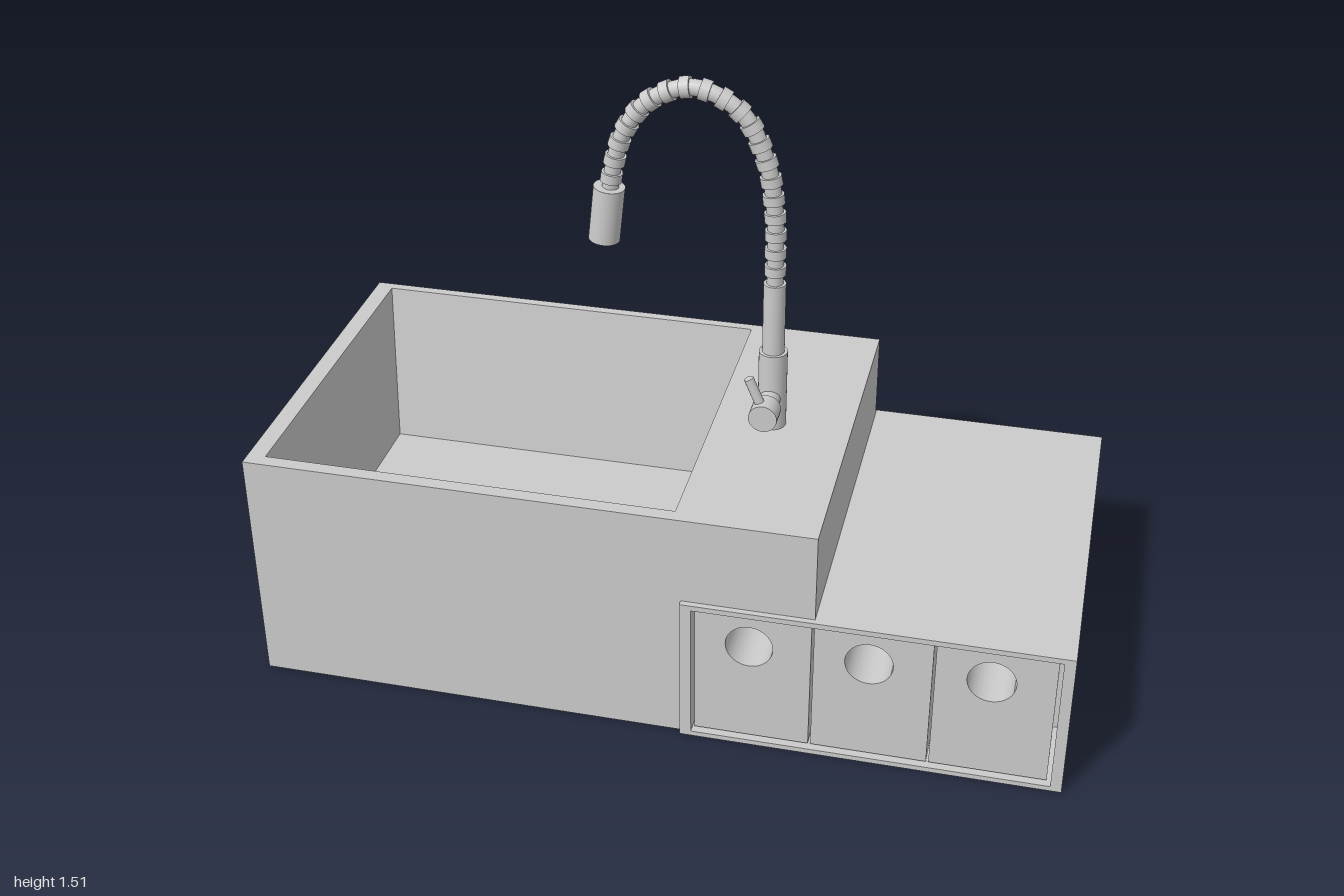
import * as THREE from 'three';

const grey = new THREE.MeshStandardMaterial({ color: 0xcccccc });

function add(parent, name, geometry, x = 0, y = 0, z = 0) {
  const mesh = new THREE.Mesh(geometry, grey);
  mesh.name = name;
  mesh.position.set(x, y, z);
  parent.add(mesh);
  return mesh;
}

// Box given by its limits on each axis
function addBox(parent, name, x0, x1, y0, y1, z0, z1) {
  return add(parent, name, new THREE.BoxGeometry(x1 - x0, y1 - y0, z1 - z0),
    (x0 + x1) / 2, (y0 + y1) / 2, (z0 + z1) / 2);
}

// Cylinder running between two points
function addRod(parent, name, from, to, radius, sides = 24) {
  const a = new THREE.Vector3(...from), b = new THREE.Vector3(...to);
  const dir = b.clone().sub(a);
  const rod = add(parent, name, new THREE.CylinderGeometry(radius, radius, dir.length(), sides));
  rod.position.copy(a).add(b).multiplyScalar(0.5);
  rod.quaternion.setFromUnitVectors(new THREE.Vector3(0, 1, 0), dir.normalize());
  return rod;
}

function rectangle(PathType, x0, x1, y0, y1) {
  const p = new PathType();
  p.moveTo(x0, y0).lineTo(x1, y0).lineTo(x1, y1).lineTo(x0, y1).closePath();
  return p;
}

// Flat-faced skin through rectangular rings [y, x0, x1, z0, z1], closed at both ends
function rectLoft(rings) {
  const loops = rings.map(([y, x0, x1, z0, z1]) =>
    [[x0, y, z1], [x1, y, z1], [x1, y, z0], [x0, y, z0]]);
  const pos = [];
  const quad = (a, b, c, d) => pos.push(...a, ...b, ...c, ...a, ...c, ...d);
  for (let i = 0; i < loops.length - 1; i++) {
    for (let j = 0; j < 4; j++) {
      const k = (j + 1) % 4;
      quad(loops[i][j], loops[i][k], loops[i + 1][k], loops[i + 1][j]);
    }
  }
  quad(...loops[0].slice().reverse());
  quad(...loops[loops.length - 1]);
  const g = new THREE.BufferGeometry();
  g.setAttribute('position', new THREE.Float32BufferAttribute(pos, 3));
  g.computeVertexNormals();
  return g;
}

function buildSink() {
  const sink = new THREE.Group();
  sink.name = 'sink';
  // Outer walls, rim and sloping well in one skin
  add(sink, 'basin', rectLoft([
    [0, -1, 0.075, -0.465, 0.46],
    [0.62, -1, 0.075, -0.465, 0.46],
    [0.62, -0.955, 0.055, -0.44, 0.425],
    [0.18, -0.945, 0, -0.385, 0.375],
  ]));
  addBox(sink, 'tapLedge', 0.075, 0.395, 0.385, 0.62, -0.465, 0.46);
  add(sink, 'drain', new THREE.CylinderGeometry(0.035, 0.035, 0.006, 32), -0.49, 0.181, 0.01);
  return sink;
}

function buildCabinet() {
  const cabinet = new THREE.Group();
  cabinet.name = 'cabinet';
  addBox(cabinet, 'cabinetBody', 0.075, 0.995, 0, 0.392, -0.48, 0.26);

  // Frame around the drawers
  const frame = rectangle(THREE.Shape, 0.075, 0.995, 0, 0.392);
  frame.holes.push(rectangle(THREE.Path, 0.103, 0.968, 0.013, 0.378));
  add(cabinet, 'cabinetFrame',
    new THREE.ExtrudeGeometry(frame, { depth: 0.215, bevelEnabled: false }), 0, 0, 0.26);

  // Three drawers with round finger holes
  for (let i = 0; i < 3; i++) {
    const x0 = 0.109 + i * 0.285;
    const front = rectangle(THREE.Shape, x0, x0 + 0.279, 0.018, 0.368);
    const hole = new THREE.Path();
    hole.absarc(0.24 + i * 0.285, 0.285, 0.057, 0, Math.PI * 2, true);
    front.holes.push(hole);
    add(cabinet, 'drawer', new THREE.ExtrudeGeometry(front,
      { depth: 0.2, bevelEnabled: false, curveSegments: 32 }), 0, 0, 0.26);
  }
  return cabinet;
}

function buildTap() {
  const tap = new THREE.Group();
  tap.name = 'tap';
  const X = 0.197;
  addRod(tap, 'tapBase', [X, 0.615, 0], [X, 0.825, 0], 0.035, 32);
  addRod(tap, 'tapStem', [X, 0.82, 0], [X, 1.01, 0], 0.027, 32);

  // Side valve and lever
  addRod(tap, 'valveNeck', [X, 0.705, 0], [X, 0.705, 0.08], 0.025);
  addRod(tap, 'valveKnob', [X, 0.705, 0.07], [X, 0.705, 0.125], 0.035);
  addRod(tap, 'lever', [X, 0.705, 0.098], [0.157, 0.798, 0.098], 0.012, 16);

  // Arched hose with evenly spaced collars
  const path = new THREE.CatmullRomCurve3([
    [X, 1.0], [X, 1.1], [0.193, 1.2], [0.172, 1.32], [0.11, 1.438], [0, 1.488],
    [-0.1, 1.45], [-0.165, 1.365], [-0.195, 1.26], [-0.203, 1.2],
  ].map(([x, y]) => new THREE.Vector3(x, y, 0)));
  add(tap, 'hose', new THREE.TubeGeometry(path, 80, 0.02, 16));
  const count = Math.round(path.getLength() / 0.046);
  for (let i = 1; i < count; i++) {
    const u = i / count;
    const p = path.getPointAt(u), t = path.getTangentAt(u).multiplyScalar(0.012);
    addRod(tap, 'hoseCollar', p.clone().sub(t).toArray(), p.clone().add(t).toArray(), 0.026, 20);
  }

  // Spray head, hollow at the mouth
  const profile = [[0, 0.14], [0.038, 0.14], [0.038, 0], [0.028, 0], [0.028, 0.02], [0, 0.02]];
  const pos = [];
  profile.forEach(([r, y], i) => {
    // Doubled points keep the edges sharp
    pos.push(new THREE.Vector2(r, y));
    if (i > 0 && i < profile.length - 1) {
      const [nr, ny] = profile[i + 1];
      pos.push(new THREE.Vector2(r + (nr - r) * 0.01, y + (ny - y) * 0.01));
    }
  });
  const head = add(tap, 'sprayHead', new THREE.LatheGeometry(pos.reverse(), 32), -0.219, 1.08, 0);
  head.material = grey.clone();
  head.material.side = THREE.DoubleSide;
  head.rotation.z = -0.11;
  return tap;
}

export function createModel() {
  const model = new THREE.Group();
  model.name = 'sinkUnit';
  model.add(buildSink(), buildCabinet(), buildTap());
  return model;
}
